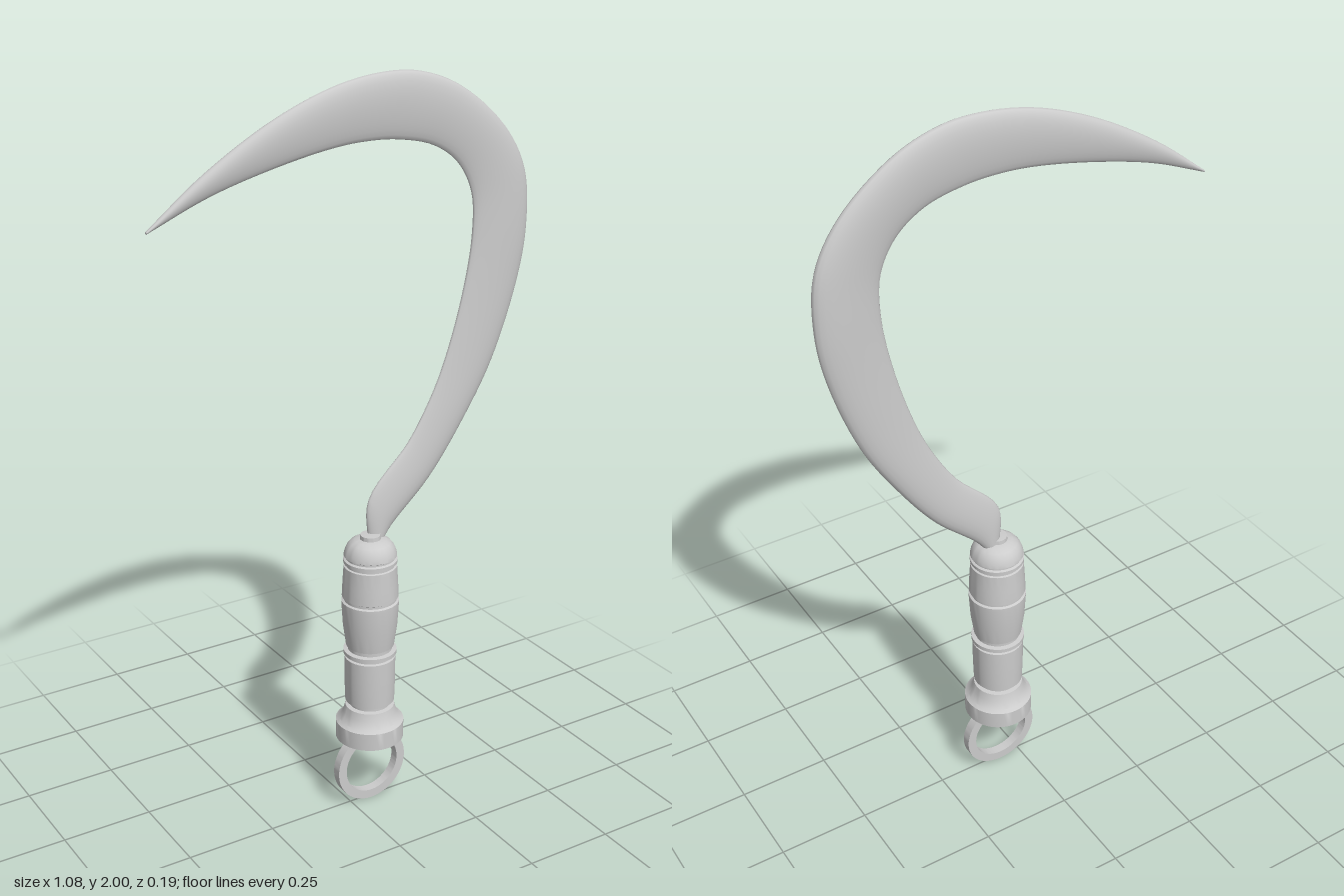
import * as THREE from 'three';
import { toCreasedNormals } from 'three/addons/utils/BufferGeometryUtils.js';

const AXIS_X = 0.062; // handle axis
const material = new THREE.MeshStandardMaterial({ color: 0xcccccc });

function addMesh(group, name, geometry) {
  const mesh = new THREE.Mesh(geometry, material);
  mesh.name = name;
  group.add(mesh);
  return mesh;
}

// Blade stations from tang to tip: outer x, y, inner x, y, half thickness
const STATIONS = [
  [0.095, 0.77, 0.06, 0.77, 0.018],
  [0.13, 0.815, 0.06, 0.90, 0.02],
  [0.246, 0.925, 0.18, 1.035, 0.021],
  [0.35, 1.066, 0.235, 1.12, 0.022],
  [0.44, 1.22, 0.283, 1.22, 0.023],
  [0.515, 1.43, 0.338, 1.394, 0.025],
  [0.538, 1.57, 0.368, 1.56, 0.027],
  [0.526, 1.72, 0.363, 1.675, 0.026],
  [0.46, 1.835, 0.32, 1.755, 0.024],
  [0.325, 1.945, 0.246, 1.807, 0.022],
  [0.21, 1.99, 0.14, 1.833, 0.021],
  [0.11, 1.999, 0.05, 1.838, 0.021],
  [-0.03, 1.98, -0.04, 1.832, 0.021],
  [-0.2, 1.918, -0.2, 1.803, 0.02],
  [-0.39, 1.81, -0.38, 1.755, 0.016],
  [-0.54, 1.697, -0.54, 1.691, 0.006],
];

// Lens-shaped cross-sections swept between the outer and inner edges
function bladeGeometry() {
  const outer = new THREE.CatmullRomCurve3(STATIONS.map(s => new THREE.Vector3(s[0], s[1], s[4])));
  const inner = new THREE.CatmullRomCurve3(STATIONS.map(s => new THREE.Vector3(s[2], s[3], s[4])));
  const rows = 90, sides = 24;
  const positions = [], indices = [];
  for (let i = 0; i <= rows; i++) {
    const o = outer.getPoint(i / rows), n = inner.getPoint(i / rows);
    for (let j = 0; j < sides; j++) {
      const a = (j / sides) * Math.PI * 2;
      const u = (1 - Math.cos(a)) / 2;
      // fuller towards the back of the blade, thinner at the cutting edge
      const z = o.z * Math.sin(a) * (0.88 + 0.22 * Math.cos(a));
      positions.push(o.x + (n.x - o.x) * u, o.y + (n.y - o.y) * u, z - 0.006);
    }
  }
  for (let i = 0; i < rows; i++) {
    for (let j = 0; j < sides; j++) {
      const k = (j + 1) % sides;
      const a = i * sides + j, b = i * sides + k, c = a + sides, d = b + sides;
      indices.push(a, c, b, b, c, d);
    }
  }
  // end caps
  const last = rows * sides;
  for (let j = 1; j < sides - 1; j++) {
    indices.push(0, j, j + 1);
    indices.push(last, last + j + 1, last + j);
  }
  const geometry = new THREE.BufferGeometry();
  geometry.setAttribute('position', new THREE.Float32BufferAttribute(positions, 3));
  geometry.setIndex(indices);
  geometry.computeVertexNormals();
  return geometry;
}

// Turned part from [radius, y] pairs
function turned(profile) {
  const points = profile.map(([r, y]) => new THREE.Vector2(r, y));
  return toCreasedNormals(new THREE.LatheGeometry(points, 48), 0.5);
}

export function createModel() {
  const model = new THREE.Group();
  model.name = 'sickle';

  addMesh(model, 'blade', bladeGeometry());

  // Grip with flared pommel, grooves and domed top
  const handle = addMesh(model, 'handle', turned([
    [0, 0.2], [0.093, 0.2], [0.093, 0.25], [0.083, 0.257], [0.072, 0.278], [0.067, 0.298],
    [0.055, 0.3], [0.055, 0.312], [0.067, 0.314],
    [0.069, 0.38], [0.069, 0.447], [0.062, 0.449], [0.062, 0.454],
    [0.072, 0.457], [0.072, 0.468], [0.06, 0.47], [0.06, 0.48],
    [0.065, 0.482], [0.073, 0.54], [0.077, 0.605], [0.077, 0.615], [0.071, 0.618], [0.071, 0.625],
    [0.076, 0.628], [0.074, 0.67], [0.071, 0.717], [0.066, 0.719], [0.066, 0.724],
    [0.072, 0.727], [0.072, 0.736], [0.066, 0.739], [0.066, 0.744],
    [0.071, 0.747], [0.069, 0.757], [0.063, 0.772], [0.054, 0.783], [0.042, 0.79], [0.028, 0.793],
    [0.027, 0.804], [0, 0.806],
  ]));
  handle.position.x = AXIS_X;

  // Flat hanging ring
  const shape = new THREE.Shape().absarc(0, 0, 0.107, 0, Math.PI * 2, false);
  shape.holes.push(new THREE.Path().absarc(0, 0, 0.082, 0, Math.PI * 2, true));
  const ringGeometry = new THREE.ExtrudeGeometry(shape, { depth: 0.026, bevelEnabled: false, curveSegments: 48 });
  ringGeometry.translate(0, 0, -0.013);
  const ring = addMesh(model, 'hangingRing', toCreasedNormals(ringGeometry, 0.5));
  ring.position.set(AXIS_X, 0.107, 0);

  return model;
}
